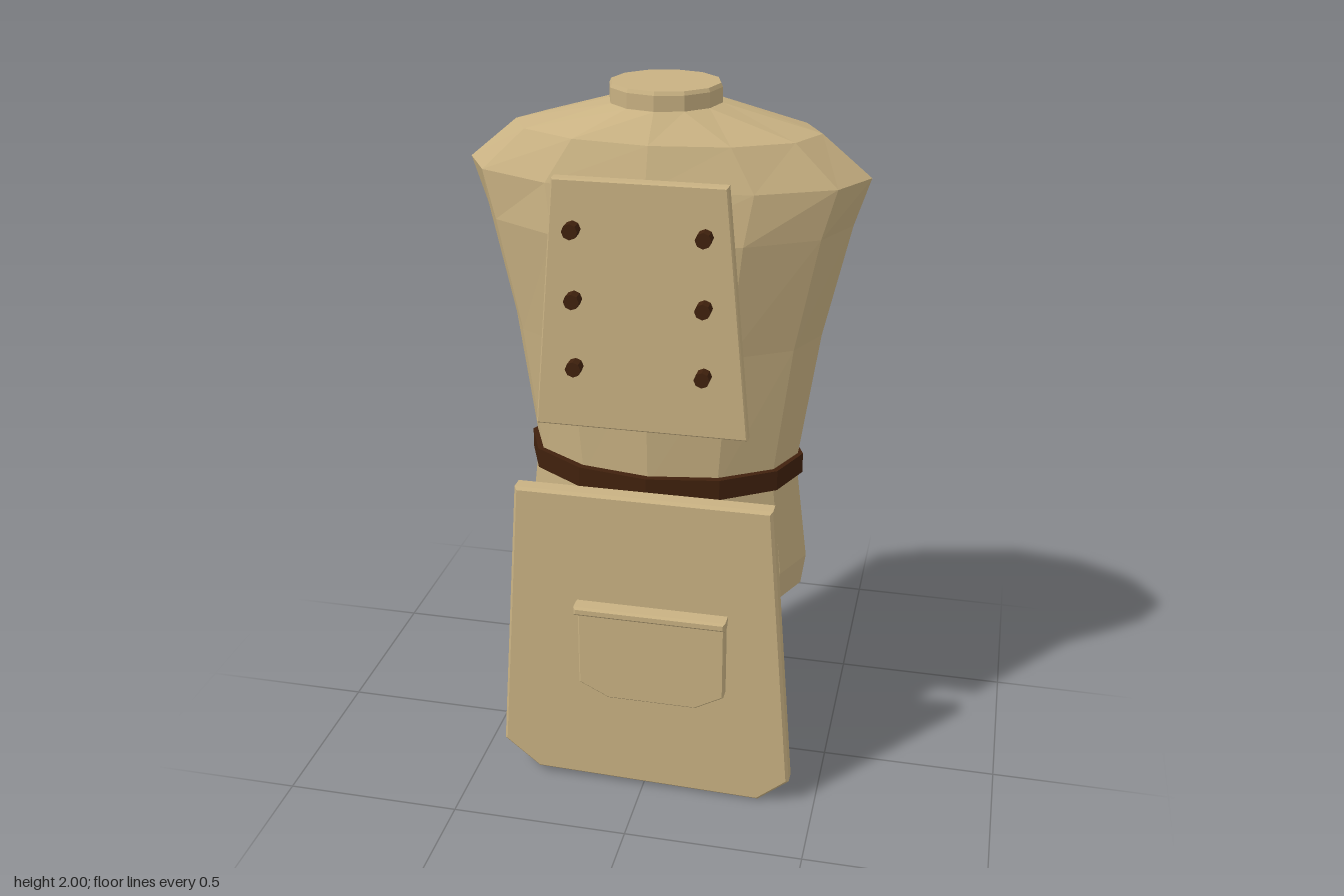
import * as THREE from 'three';

const cloth = new THREE.MeshStandardMaterial({ color: 0xc8b182 });
cloth.name = 'tan cloth';
const leather = new THREE.MeshStandardMaterial({ color: 0x40210d });
leather.name = 'dark brown leather';

// Faceted solid through elliptical rings [y, half width, front z, back z], bottom to top
function loft(rings, sides = 12) {
  const pos = [], index = [];
  for (const [y, hx, front, back] of rings) {
    const cz = (front + back) / 2, rz = (front - back) / 2;
    for (let i = 0; i < sides; i++) {
      const a = (i / sides) * Math.PI * 2;
      pos.push(Math.sin(a) * hx, y, cz + Math.cos(a) * rz);
    }
  }
  for (let r = 0; r < rings.length - 1; r++) {
    for (let i = 0; i < sides; i++) {
      const a = r * sides + i, b = r * sides + ((i + 1) % sides);
      index.push(a, b, b + sides, a, b + sides, a + sides);
    }
  }
  // end caps
  const top = (rings.length - 1) * sides;
  for (let i = 1; i < sides - 1; i++) {
    index.push(0, i + 1, i, top, top + i, top + i + 1);
  }
  const g = new THREE.BufferGeometry();
  g.setAttribute('position', new THREE.Float32BufferAttribute(pos, 3));
  g.setIndex(index);
  const flat = g.toNonIndexed();
  flat.computeVertexNormals();
  return flat;
}

// Bevelled panel whose outline and depth include the bevel
function panel(points, z0, z1, bevel = 0.008) {
  const shape = new THREE.Shape(points.map(([x, y]) => new THREE.Vector2(x, y)));
  const g = new THREE.ExtrudeGeometry(shape, {
    depth: z1 - z0 - bevel * 2,
    bevelEnabled: true, bevelThickness: bevel, bevelSize: bevel,
    bevelOffset: -bevel, bevelSegments: 1,
  });
  g.translate(0, 0, z0 + bevel);
  return g;
}

export function createModel() {
  const group = new THREE.Group();
  const add = (name, geometry, material) => {
    const mesh = new THREE.Mesh(geometry, material);
    mesh.name = name;
    group.add(mesh);
    return mesh;
  };

  // Torso from hem to collar base
  add('torso', loft([
    [0.56, 0.40, 0.20, -0.29],
    [0.65, 0.412, 0.205, -0.30],
    [0.95, 0.375, 0.195, -0.275],
    [1.33, 0.43, 0.215, -0.305],
    [1.64, 0.50, 0.238, -0.338],
    [1.77, 0.542, 0.21, -0.307],
    [1.88, 0.41, 0.175, -0.263],
    [1.95, 0.15, 0.11, -0.18],
  ]), cloth);

  add('collar', loft([
    [1.93, 0.15, 0.107, -0.178],
    [1.99, 0.15, 0.107, -0.178],
    [2.0, 0.145, 0.102, -0.173],
  ]), cloth);

  add('belt', loft([
    [0.917, 0.393, 0.217, -0.298],
    [0.975, 0.393, 0.217, -0.298],
  ]), leather);

  // Chest bib with two columns of buttons
  add('bib', panel([
    [-0.285, 1.14], [0.285, 1.14], [0.222, 1.812], [-0.226, 1.812],
  ], 0.237, 0.272, 0.004), cloth);
  for (const x of [-0.172, 0.168]) {
    for (const y of [1.315, 1.5, 1.685]) {
      const g = new THREE.CylinderGeometry(0.021, 0.021, 0.034, 8).toNonIndexed();
      g.computeVertexNormals();
      g.rotateX(Math.PI / 2);
      add('button', g, leather).position.set(x, y, 0.289);
    }
  }

  // Apron skirt with clipped lower corners
  add('apron', panel([
    [-0.418, 0.105], [-0.315, 0.02], [0.338, 0.005],
    [0.427, 0.08], [0.357, 0.94], [-0.357, 0.94],
  ], 0.217, 0.272), cloth);

  add('pocket', panel([
    [-0.175, 0.362], [-0.09, 0.32], [0.16, 0.32],
    [0.24, 0.365], [0.24, 0.6], [-0.175, 0.6],
  ], 0.262, 0.31, 0.004), cloth);

  add('pocketFlap', panel([
    [-0.18, 0.595], [0.246, 0.595], [0.246, 0.621], [-0.18, 0.621],
  ], 0.287, 0.338, 0.006), cloth);

  return group;
}
